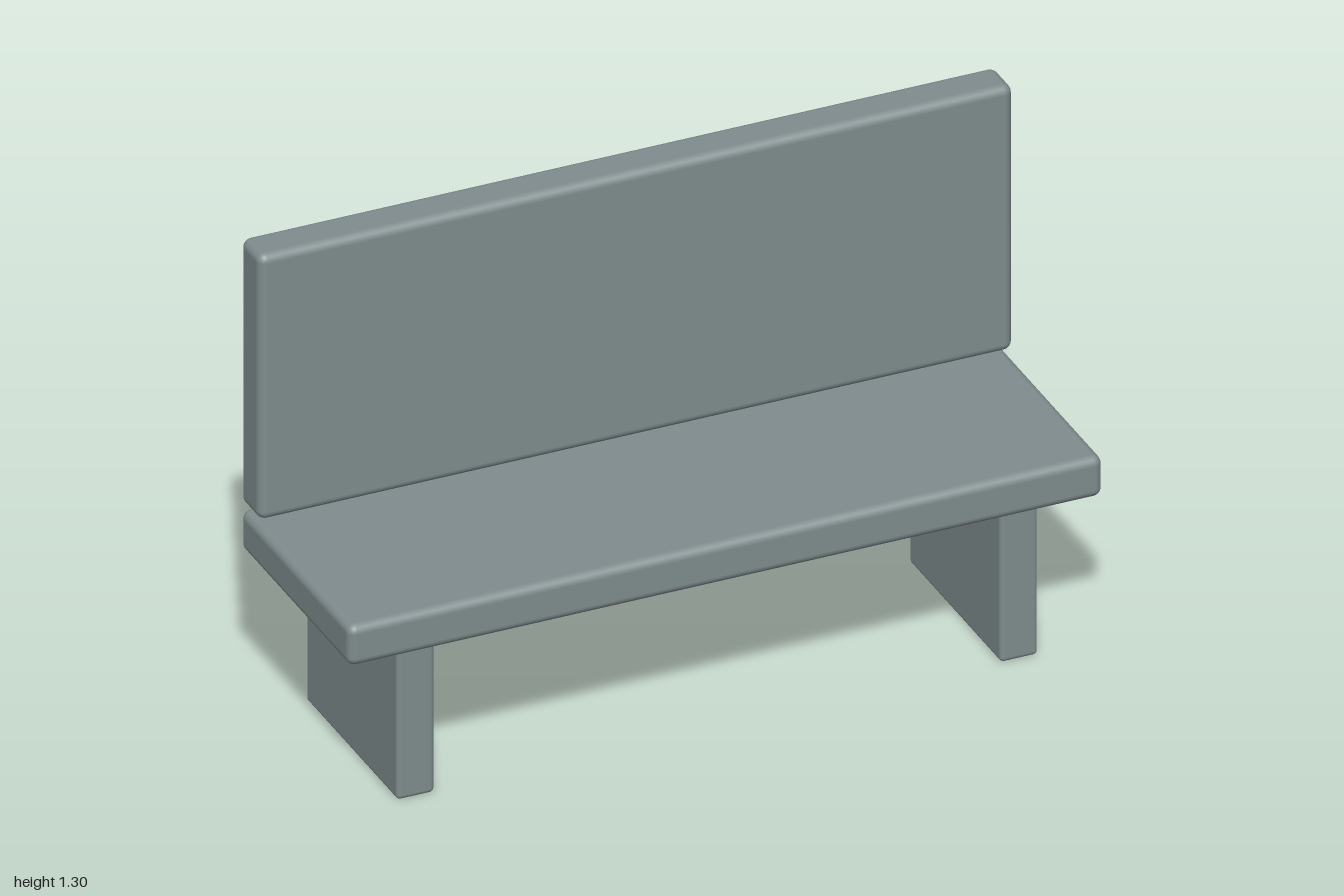
import * as THREE from 'three';
import { RoundedBoxGeometry } from 'three/addons/geometries/RoundedBoxGeometry.js';

export function createModel() {
  const bench = new THREE.Group();
  bench.name = 'bench';
  const stone = new THREE.MeshStandardMaterial({ color: 0x7f8c8d });
  stone.name = 'greyStone';

  // Slab with softly rounded edges
  const slab = (name, size, position, radius) => {
    const mesh = new THREE.Mesh(new RoundedBoxGeometry(...size, 4, radius), stone);
    mesh.name = name;
    mesh.position.set(...position);
    bench.add(mesh);
  };

  slab('seat', [2, 0.113, 0.637], [0, 0.488, 0], 0.023);
  // Backrest floats just above the rear edge of the seat
  slab('backrest', [2, 0.74, 0.113], [0, 0.933, -0.262], 0.023);

  // Panel legs, tucked slightly into the seat
  for (const [name, side] of [['leftLeg', 1], ['rightLeg', -1]]) {
    slab(name, [0.1, 0.45, 0.535], [side * 0.8, 0.225, 0], 0.012);
  }
  return bench;
}
